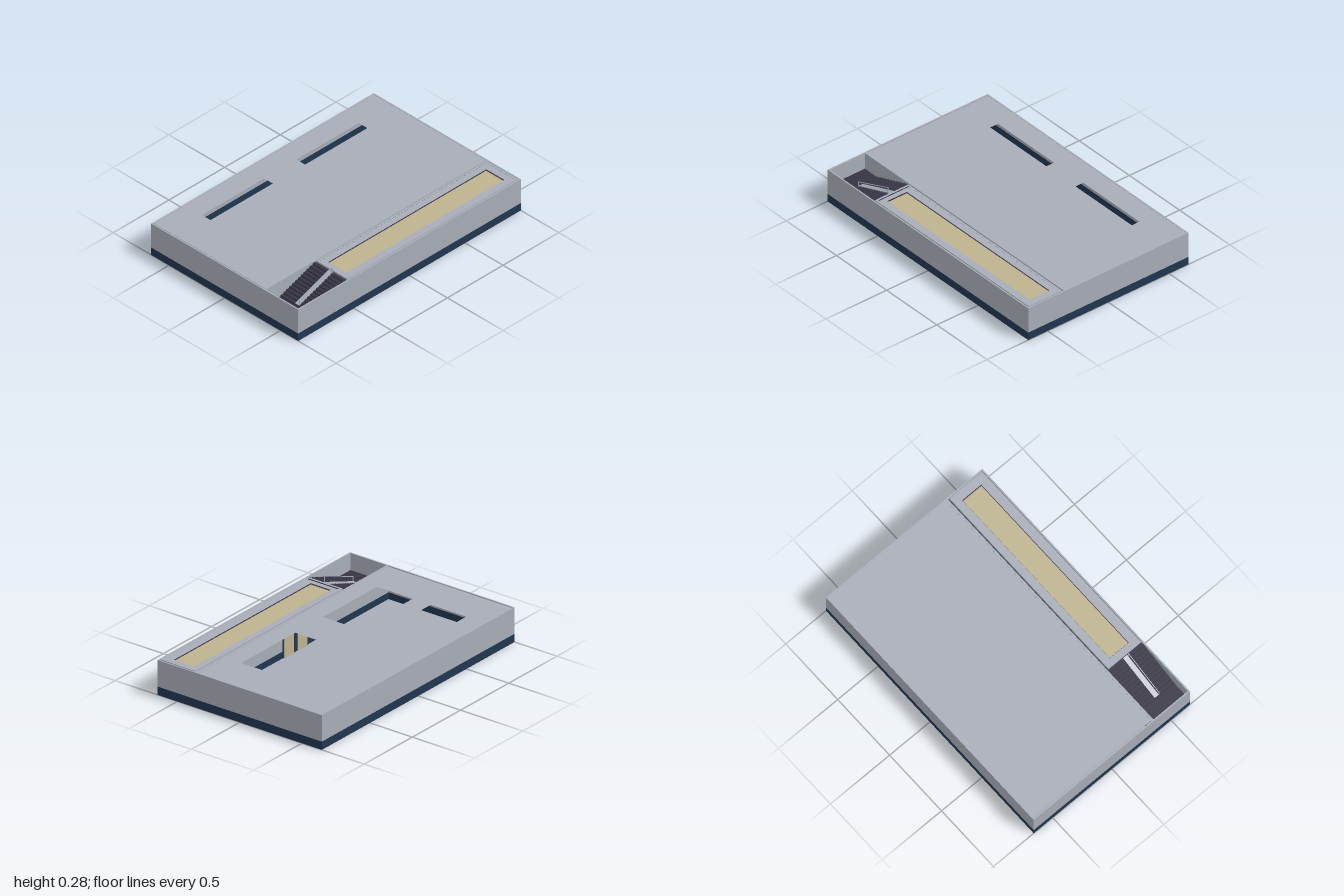
import * as THREE from 'three';

const mat = (name, color) => {
  const m = new THREE.MeshStandardMaterial({ color });
  m.name = name;
  return m;
};

export function createModel() {
  const model = new THREE.Group();
  model.name = 'buildingStorey';
  const grey = mat('pale grey plaster', 0xa8acb7);
  const navy = mat('navy wainscot', 0x203650);
  const tan = mat('tan panel', 0xbdb38f);
  const dark = mat('dark stair', 0x363343);

  const H = 0.245, BAND = 0.058;

  // Box given by its extents on each axis
  function box(name, m, [x0, x1], [y0, y1], [z0, z1], parent = model) {
    const mesh = new THREE.Mesh(new THREE.BoxGeometry(x1 - x0, y1 - y0, z1 - z0), m);
    mesh.position.set((x0 + x1) / 2, (y0 + y1) / 2, (z0 + z1) / 2);
    mesh.name = name;
    parent.add(mesh);
    return mesh;
  }

  // Horizontal slab with rectangular openings; rectangles are [x0, x1, z0, z1]
  function slab(name, m, outer, holes, yTop, thick) {
    const trace = (path, [x0, x1, z0, z1]) => {
      path.moveTo(x0, -z0);
      path.lineTo(x1, -z0);
      path.lineTo(x1, -z1);
      path.lineTo(x0, -z1);
      path.closePath();
      return path;
    };
    const shape = trace(new THREE.Shape(), outer);
    holes.forEach(h => shape.holes.push(trace(new THREE.Path(), h)));
    const geo = new THREE.ExtrudeGeometry(shape, { depth: thick, bevelEnabled: false });
    geo.rotateX(-Math.PI / 2);
    const mesh = new THREE.Mesh(geo, m);
    mesh.position.y = yTop - thick;
    mesh.name = name;
    model.add(mesh);
  }

  // Walls: navy band below, plaster above
  function wall(name, xs, zs) {
    const g = new THREE.Group();
    g.name = name;
    box(name + 'Band', navy, xs, [0, BAND], zs, g);
    box(name + 'Plaster', grey, xs, [BAND, H], zs, g);
    model.add(g);
  }
  wall('rightWall', [-0.66, -0.65], [-1, 1]);
  wall('leftWall', [0.65, 0.66], [-1, 1]);
  wall('frontWall', [-0.65, 0.65], [0.99, 1]);
  wall('backWall', [-0.65, 0.65], [-1, -0.99]);
  wall('partition', [0.345, 0.36], [-0.99, 0.99]);

  // Hall floor and corridor floor
  box('hallFloor', grey, [-0.65, 0.345], [0.004, 0.01], [-0.99, 0.99]);
  box('corridorFloor', grey, [0.36, 0.65], [0.045, 0.055], [-0.99, 0.99]);

  // Roof with four skylight openings
  const openings = [];
  for (const [x0, x1] of [[-0.5, -0.215], [-0.07, 0.215]])
    for (const [z0, z1] of [[-0.705, -0.145], [0.145, 0.705]])
      openings.push([x0, x1, z0, z1]);
  slab('roof', grey, [-0.65, 0.345, -0.99, 0.985], openings, H - 0.002, 0.008);

  // Double door in the partition
  box('doorFrame', navy, [0.341, 0.345], [0.01, 0.165], [-0.11, 0.15]);
  for (const z of [-0.1, 0.04])
    box('doorLeaf', tan, [0.336, 0.341], [0.01, 0.155], [z, z + 0.1]);

  // Raised side platform with sunken tan strip
  box('platformBed', dark, [0.36, 0.65], [0.215, 0.225], [-0.99, 0.545]);
  slab('platform', grey, [0.378, 0.638, -0.975, 0.53], [[0.425, 0.585, -0.925, 0.495]], 0.24, 0.015);
  slab('platformRim', grey, [0.37, 0.645, -0.985, 0.545], [[0.384, 0.63, -0.97, 0.53]], 0.247, 0.022);
  box('tanStrip', tan, [0.428, 0.582], [0.225, 0.234], [-0.92, 0.49]);

  // Stair flight down to the front landing
  const steps = 12, zTop = 0.545, zEnd = 0.86, yTop = 0.235, yEnd = 0.125;
  const run = (zEnd - zTop) / steps, rise = (yTop - yEnd) / steps;
  for (let i = 0; i < steps; i++) {
    const y = yTop - i * rise, z = zTop + i * run;
    box('step', dark, [0.36, 0.65], [y - 0.03, y], [z, z + run]);
  }
  box('landing', dark, [0.36, 0.65], [yEnd - 0.02, yEnd], [zEnd, 0.99]);

  // Bar sloping in the y-z plane
  function slopedBar(name, x, w, h, [ya, za], [yb, zb]) {
    const len = Math.hypot(yb - ya, zb - za);
    const bar = new THREE.Mesh(new THREE.BoxGeometry(w, h, len), grey);
    bar.position.set(x, (ya + yb) / 2, (za + zb) / 2);
    bar.rotation.x = Math.atan2(ya - yb, zb - za);
    bar.name = name;
    model.add(bar);
  }
  // Central ramp and handrail
  slopedBar('stairRamp', 0.505, 0.034, 0.012, [0.24, 0.55], [0.13, 0.855]);
  slopedBar('handrail', 0.525, 0.004, 0.004, [0.282, 0.56], [0.168, 0.855]);
  box('railTopPost', grey, [0.523, 0.527], [0.225, 0.284], [0.558, 0.562]);
  box('railEndPost', grey, [0.523, 0.527], [yEnd, 0.17], [0.853, 0.857]);

  return model;
}
